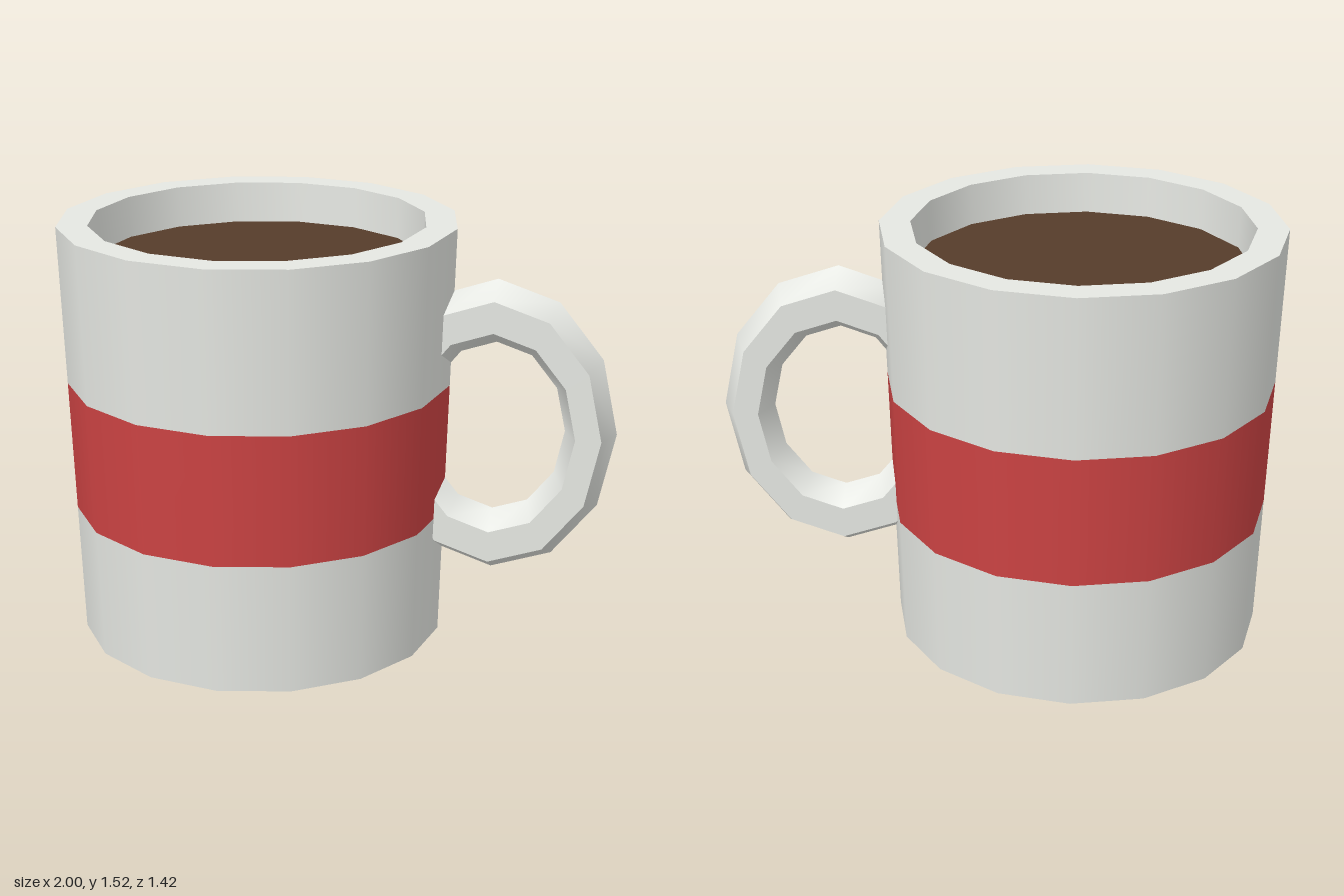
import * as THREE from 'three';
import { toCreasedNormals } from 'three/addons/utils/BufferGeometryUtils.js';

const SIDES = 16, HEIGHT = 1.52, R_BOTTOM = 0.665, R_TOP = 0.71;
const CUP_X = -0.29, BAND_LOW = 0.475, BAND_HIGH = 0.95, COFFEE_Y = 1.37;

const material = (name, color) => {
  const m = new THREE.MeshStandardMaterial({ color });
  m.name = name;
  return m;
};

// outer radius of the tapered cup at height y
const radiusAt = (y) => R_BOTTOM + (R_TOP - R_BOTTOM) * (y / HEIGHT);

export function createModel() {
  const ceramic = material('ceramic white', 0xe8eae5);
  const red = material('band red', 0xcc4343);
  const brown = material('coffee brown', 0x563c2a);

  const mug = new THREE.Group();
  mug.name = 'mug';
  const cup = new THREE.Group();
  cup.name = 'cup';
  cup.position.x = CUP_X;
  mug.add(cup);

  const add = (parent, name, geometry, mat) => {
    const mesh = new THREE.Mesh(geometry, mat);
    mesh.name = name;
    parent.add(mesh);
    return mesh;
  };

  // outer wall in three stacked rings, the middle one coloured
  const ring = (name, y0, y1, mat) => {
    const g = new THREE.CylinderGeometry(radiusAt(y1), radiusAt(y0), y1 - y0, SIDES, 1, true);
    g.translate(0, (y0 + y1) / 2, 0);
    add(cup, name, g, mat);
  };
  ring('lowerWall', 0, BAND_LOW, ceramic);
  ring('colourBand', BAND_LOW, BAND_HIGH, red);
  ring('upperWall', BAND_HIGH, HEIGHT, ceramic);

  // flat rim, inner wall and inner floor
  const inside = [[R_TOP, HEIGHT], [0.6, HEIGHT], [0.56, 0.1], [0, 0.1]]
    .map(([r, y]) => new THREE.Vector2(r, y));
  const lining = toCreasedNormals(new THREE.LatheGeometry(inside, SIDES), 0.7);
  add(cup, 'rimAndLining', lining, ceramic).material.side = THREE.DoubleSide;

  // base disc
  const base = new THREE.CircleGeometry(R_BOTTOM, SIDES);
  base.rotateX(Math.PI / 2);
  add(cup, 'base', base, ceramic);

  // coffee surface
  const coffee = new THREE.CircleGeometry(0.597, SIDES);
  coffee.rotateX(-Math.PI / 2);
  coffee.translate(0, COFFEE_Y, 0);
  add(cup, 'coffee', coffee, brown);

  // six-sided oval handle, its ends buried in the wall
  const arc = Math.PI * 10 / 6;
  const loop = new THREE.TorusGeometry(0.427, 0.114, 6, 10, arc);
  loop.rotateZ(-arc / 2);
  loop.scale(0.8, 1, 1);
  add(mug, 'handle', toCreasedNormals(loop, 0.75), ceramic).position.set(0.567, 0.81, 0);

  return mug;
}
